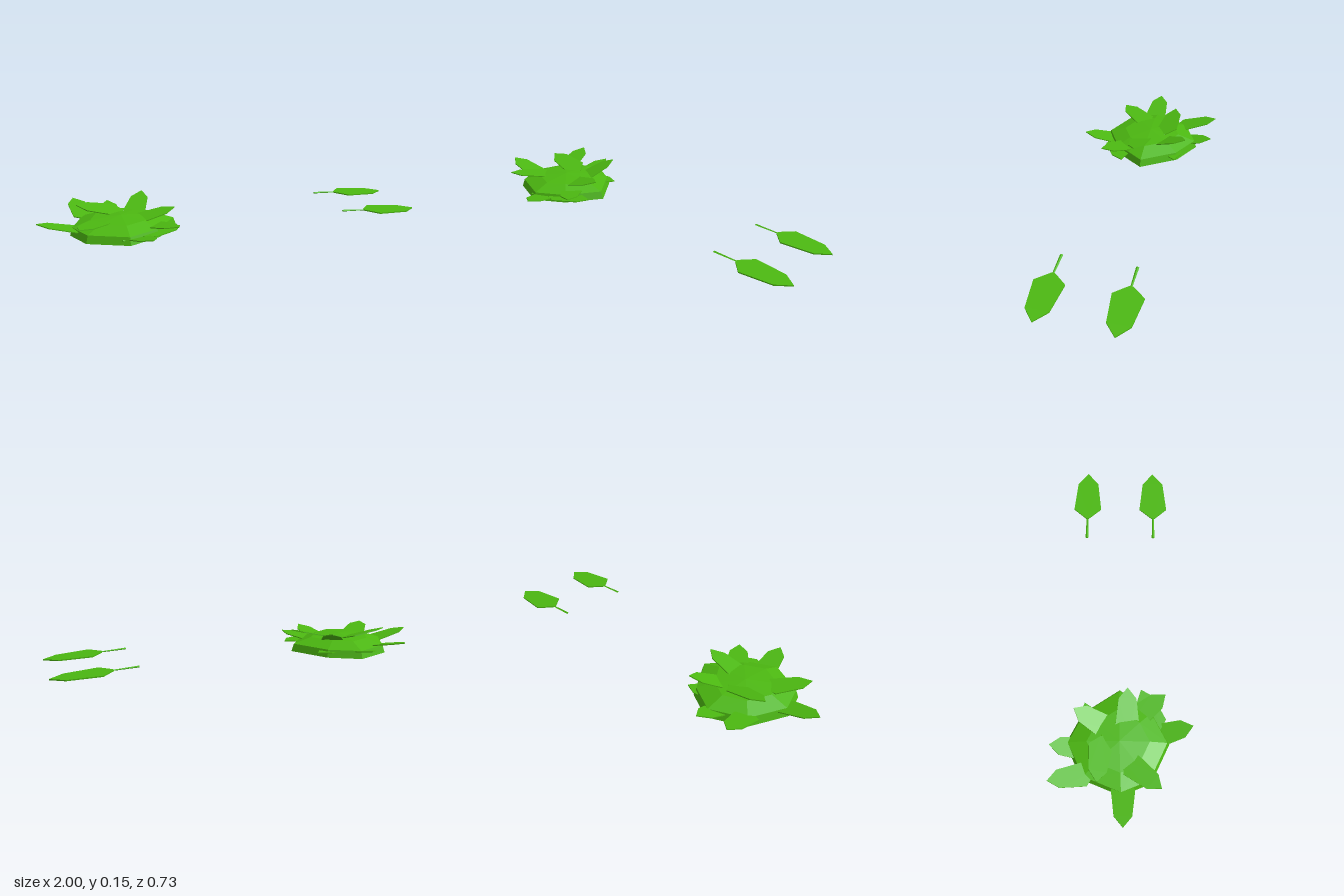
import * as THREE from 'three';

const green = new THREE.MeshStandardMaterial({ color: 0x4cb811, flatShading: true, side: THREE.DoubleSide });

// Thin pointed blade along +x, with its tip at the origin
function bladeGeometry() {
  const half = [[-0.30, 0.008], [-0.24, 0.076], [-0.07, 0.057], [0, 0]];
  const pts = [...half, ...half.slice(0, 3).reverse().map(([x, y]) => [x, -y])];
  const shape = new THREE.Shape(pts.map(([x, y]) => new THREE.Vector2(x, y)));
  const g = new THREE.ExtrudeGeometry(shape, { depth: 0.006, bevelEnabled: false });
  g.translate(0, 0, -0.003);
  g.rotateX(-Math.PI / 2);
  return g;
}

// Slim stem running on from the base of the blade
function stemGeometry() {
  const g = new THREE.CylinderGeometry(0.005, 0.008, 0.13, 4);
  g.rotateZ(-Math.PI / 2);
  g.scale(1, 0.6, 1);
  g.translate(-0.36, 0, 0);
  return g;
}

const bladeGeo = bladeGeometry();
const stemGeo = stemGeometry();

// Leaf placed by its tip and the point its stem aims at
function makeLeaf(name, tip, end, scale, roll = 0) {
  const leaf = new THREE.Group();
  leaf.name = name;
  const blade = new THREE.Mesh(bladeGeo, green);
  blade.name = 'leafBlade';
  const stem = new THREE.Mesh(stemGeo, green);
  stem.name = 'leafStem';
  leaf.add(blade, stem);
  const t = new THREE.Vector3(...tip);
  const along = t.clone().sub(new THREE.Vector3(...end)).normalize();
  const side = along.clone().cross(new THREE.Vector3(0, 1, 0)).normalize();
  const up = side.clone().cross(along);
  leaf.quaternion.setFromRotationMatrix(new THREE.Matrix4().makeBasis(along, up, side));
  leaf.rotateX(roll);
  leaf.position.copy(t);
  leaf.scale.setScalar(scale);
  return leaf;
}

// Low faceted mound: an uneven rim repeated as shrinking rings
function makeMound() {
  const cx = -0.58, cz = -0.01;
  const rim = [[-0.295, -0.01], [-0.42, -0.2], [-0.58, -0.285], [-0.76, -0.2],
    [-0.84, 0], [-0.78, 0.15], [-0.58, 0.245], [-0.42, 0.16]];
  const rings = [[0.001, 0.014], [0.8, 0.014], [1, 0.022], [0.95, 0.062], [0.6, 0.092], [0.001, 0.104]];
  const n = rim.length;
  const pos = [], idx = [];
  for (const [s, y] of rings)
    for (const [x, z] of rim) pos.push(cx + (x - cx) * s, y, cz + (z - cz) * s);
  for (let r = 0; r < rings.length - 1; r++)
    for (let i = 0; i < n; i++) {
      const a = r * n + i, b = r * n + (i + 1) % n;
      idx.push(a, b, b + n, a, b + n, a + n);
    }
  const g = new THREE.BufferGeometry();
  g.setAttribute('position', new THREE.Float32BufferAttribute(pos, 3));
  g.setIndex(idx);
  g.computeVertexNormals();
  const mesh = new THREE.Mesh(g, green);
  mesh.name = 'leafMound';
  return mesh;
}

export function createModel() {
  const model = new THREE.Group();
  model.name = 'leafPile';

  // Pile: mound with leaves sticking out all round
  const pile = new THREE.Group();
  pile.name = 'pile';
  pile.add(makeMound());
  const leaves = [
    // tip, stem end, roll
    [[-0.78, 0.11, -0.365], [-0.71, 0.03, -0.04], 0],
    [[-0.595, 0.08, -0.365], [-0.62, 0.004, -0.02], 0],
    [[-0.425, 0.155, -0.24], [-0.56, 0.03, 0.03], 0],
    [[-1, 0.1, 0.01], [-0.66, 0.02, 0.01], 0],
    [[-0.495, 0.08, 0.365], [-0.58, 0.004, 0.02], 0],
    [[-0.335, 0.085, 0.225], [-0.54, 0.05, -0.04], 0],
    [[-0.30, 0.052, 0.1], [-0.6, 0.045, 0.22], 0],
    [[-0.815, 0.11, 0.2], [-0.62, 0.08, -0.05], 0],
    [[-0.79, 0.14, -0.12], [-0.47, 0.08, -0.09], -0.2],
    [[-0.31, 0.13, 0.03], [-0.62, 0.06, 0.03], 0.1],
    [[-0.37, 0.05, -0.19], [-0.68, 0.05, -0.1], 0],
  ];
  leaves.forEach(([tip, end, roll], i) => pile.add(makeLeaf(`pileLeaf${i + 1}`, tip, end, 0.8, roll)));
  model.add(pile);

  // Two loose leaves lying apart from the pile
  for (const [name, z] of [['looseLeafBack', -0.2], ['looseLeafFront', 0.17]])
    model.add(makeLeaf(name, [1, 0.04, z], [0.575, 0.065, z], 1));

  return model;
}
